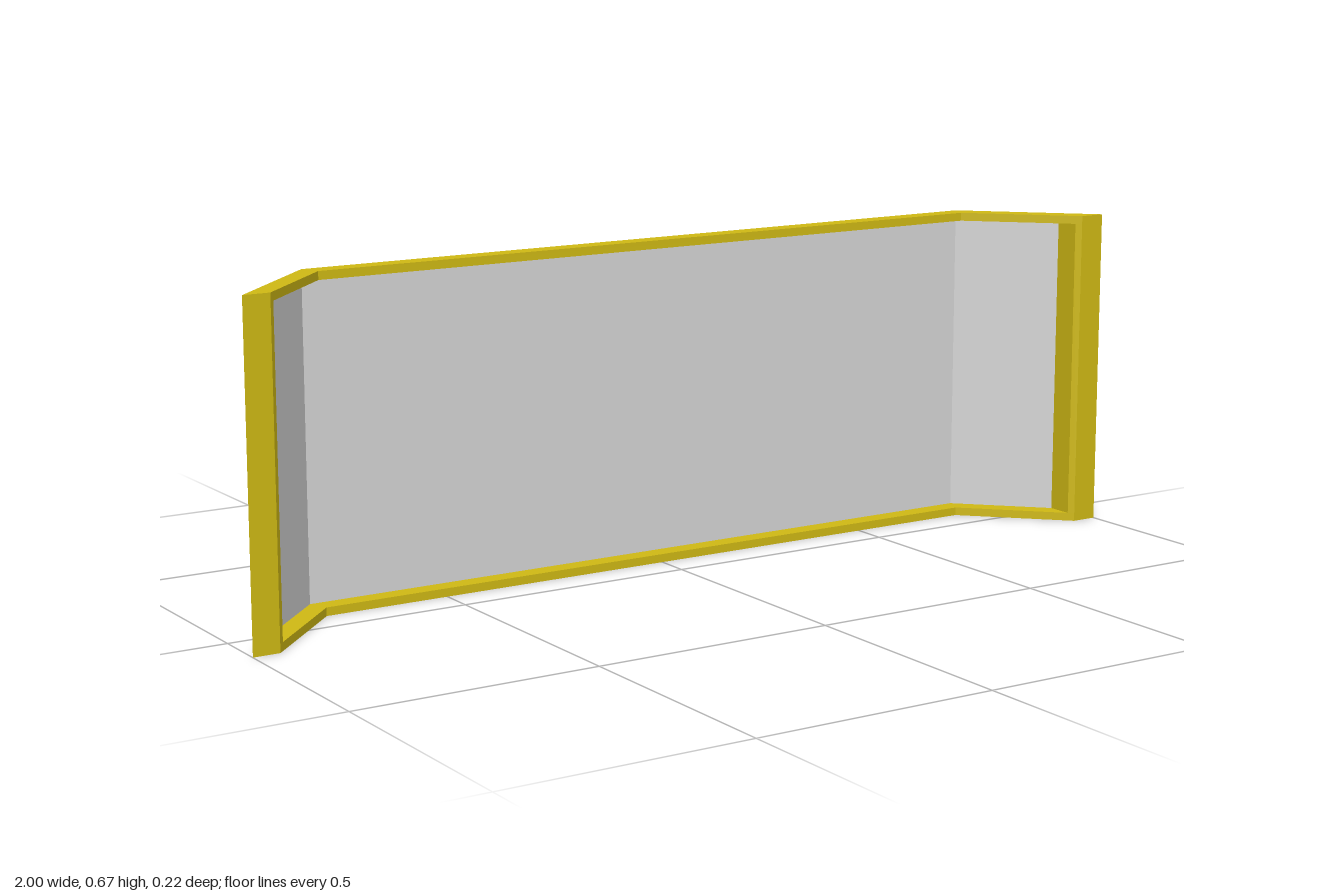
import * as THREE from 'three';

const H = 0.667, RAIL = 0.017;
const mat = (name, color, side = THREE.FrontSide) =>
  Object.assign(new THREE.MeshStandardMaterial({ color, side }), { name });

// Extrude a plan outline of [x, z] points upwards; faces turned to the back use the second material.
function prism(name, plan, y0, y1, materials) {
  const shape = new THREE.Shape(plan.map(([x, z]) => new THREE.Vector2(x, -z)));
  const geo = new THREE.ExtrudeGeometry(shape, { depth: y1 - y0, bevelEnabled: false });
  geo.rotateX(-Math.PI / 2).translate(0, y0, 0);
  geo.clearGroups();
  const normal = geo.attributes.normal;
  for (let i = 0; i < normal.count; i += 3) geo.addGroup(i, 3, normal.getZ(i) < -0.5 ? 1 : 0);
  const mesh = new THREE.Mesh(geo, materials);
  mesh.name = name;
  return mesh;
}

export function createModel() {
  const yellow = mat('frame yellow', 0xd0ba14);
  const orange = mat('outer frame orange', 0xe5a416);
  const green = mat('outer post green', 0x86b916);
  const grey = mat('glass grey', 0xd6d6d6, THREE.DoubleSide);
  const group = new THREE.Group();
  group.name = 'bayWindow';

  // Top and bottom rails following the angled bay
  const half = [[0.778, -0.111], [0.945, 0.056], [0.945, 0.111], [0.762, -0.072]];
  const [a, b, c, d] = half;
  const m = ([x, z]) => [-x, z];
  const railPlan = [m(a), a, b, c, d, m(d), m(c), m(b)];
  group.add(prism('bottomRail', railPlan, 0, RAIL, [yellow, orange]));
  group.add(prism('topRail', railPlan, H - RAIL, H, [yellow, orange]));

  // Slim stiles and wedge-shaped end posts, mirrored
  const stile = [[0.935, 0.046], [0.945, 0.056], [0.945, 0.111], [0.935, 0.101]];
  const post = [[0.945, 0.056], [1, 0.111], [0.945, 0.111]];
  for (const [side, s] of [['left', 1], ['right', -1]]) {
    const place = (plan) => plan.map(([x, z]) => [s * x, z]);
    group.add(prism(side + 'Stile', place(stile), RAIL, H - RAIL, [yellow, orange]));
    group.add(prism(side + 'EndPost', place(post), 0, H, [yellow, green]));
  }

  // Three glass panes, flush with the outside of the frame
  const line = [[-0.935, 0.046], [-0.778, -0.111], [0.778, -0.111], [0.935, 0.046]];
  const sheet = new THREE.PlaneGeometry(1, H - 2 * RAIL, 3, 1);
  const pos = sheet.attributes.position;
  for (let i = 0; i < pos.count; i++) {
    const [x, z] = line[i % 4];
    pos.setXYZ(i, x, pos.getY(i) + H / 2, z);
  }
  const glassGeo = sheet.toNonIndexed();
  glassGeo.computeVertexNormals();
  const glass = new THREE.Mesh(glassGeo, grey);
  glass.name = 'glassPanes';
  group.add(glass);

  return group;
}
